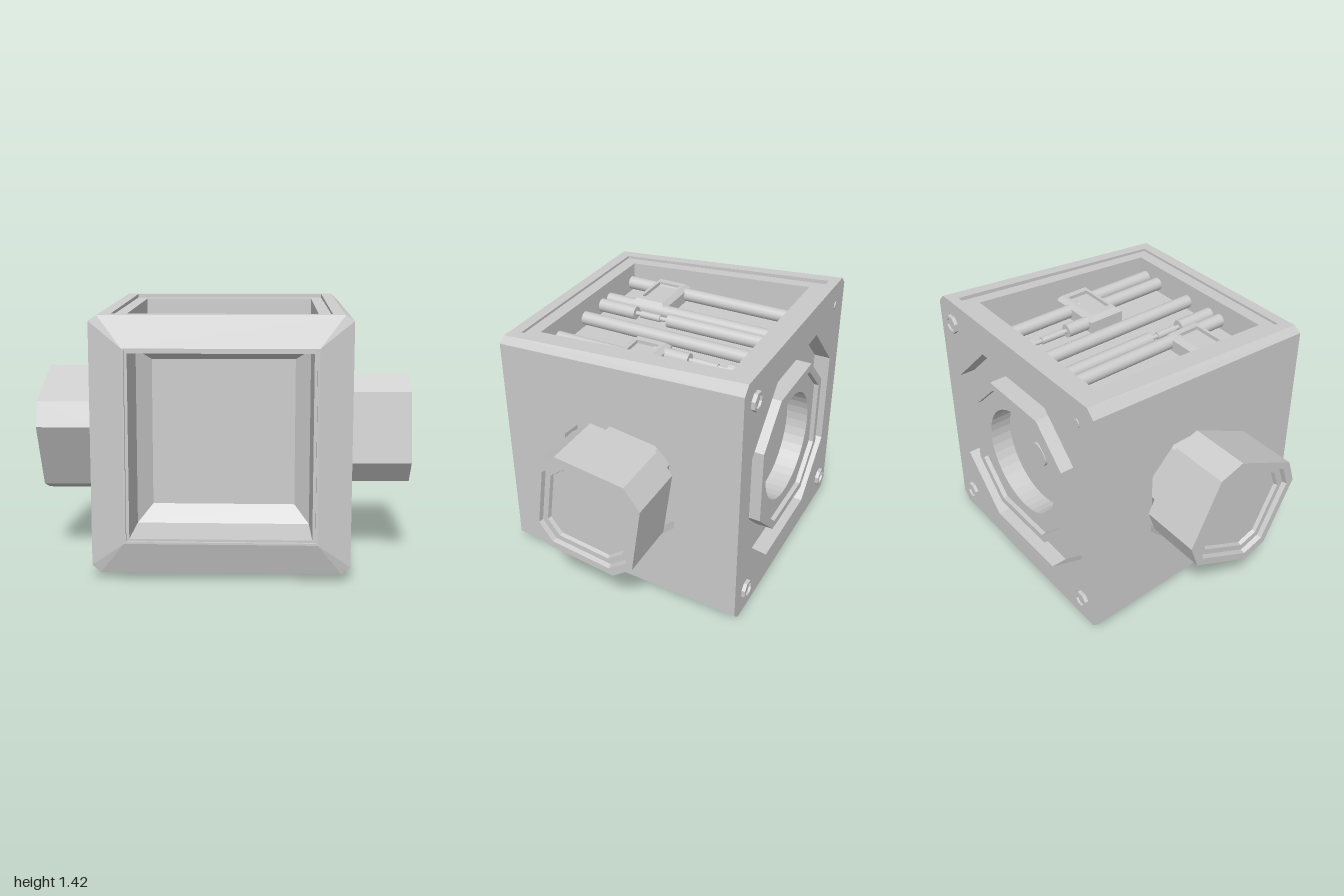
import * as THREE from 'three';
import { mergeGeometries } from 'three/addons/utils/BufferGeometryUtils.js';

const W = 0.678, Y0 = 0.005, Y1 = 1.43, C = 0.045, ZB = -0.695, ZF = 0.665;
const FLOOR = 1.17, MID = 0.685;
const material = new THREE.MeshStandardMaterial({ color: 0xcccccc });
const clamp = THREE.MathUtils.clamp;

// Rectangle with cut corners, counter-clockwise
function chamfer(x0, x1, y0, y1, c = 0) {
  return [[x0 + c, y0], [x1 - c, y0], [x1, y0 + c], [x1, y1 - c],
    [x1 - c, y1], [x0 + c, y1], [x0, y1 - c], [x0, y0 + c]].map(p => new THREE.Vector2(...p));
}
const octagon = (h, c, cx = 0, cy = 0) => chamfer(cx - h, cx + h, cy - h, cy + h, c);
function circle(r, n, cx = 0, cy = 0) {
  return Array.from({ length: n }, (_, i) => {
    const a = (i + 0.5) / n * Math.PI * 2;
    return new THREE.Vector2(cx + r * Math.cos(a), cy + r * Math.sin(a));
  });
}

// Skin through outlines [points, z], ending in a flat cap facing +z
function loft(sections, cap = true) {
  const pos = [];
  const put = (p, z) => pos.push(p.x, p.y, z);
  for (let s = 0; s + 1 < sections.length; s++) {
    const [a, za] = sections[s], [b, zb] = sections[s + 1];
    a.forEach((p, i) => {
      const j = (i + 1) % a.length;
      put(p, za); put(a[j], za); put(b[j], zb);
      put(p, za); put(b[j], zb); put(b[i], zb);
    });
  }
  if (cap) {
    const [p, z] = sections[sections.length - 1];
    for (let i = 1; i + 1 < p.length; i++) { put(p[0], z); put(p[i], z); put(p[i + 1], z); }
  }
  const g = new THREE.BufferGeometry();
  g.setAttribute('position', new THREE.Float32BufferAttribute(pos, 3));
  g.computeVertexNormals();
  return g;
}

// Flat plate with an optional hole
function plate(outline, hole, z = 0) {
  const shape = new THREE.Shape(outline);
  if (hole) shape.holes.push(new THREE.Path(hole));
  const g = new THREE.ShapeGeometry(shape).toNonIndexed();
  g.deleteAttribute('uv');
  return g.translate(0, 0, z);
}

// Shell narrows toward the front; the levels between top and bottom stay put
function taper(v) {
  const t = clamp((v.z - ZB) / (ZF - ZB), 0, 1);
  v.x *= 1 - 0.044 * t;
  v.y += 0.035 * t * clamp((0.2 - v.y) / 0.195, 0, 1) - 0.1 * t * clamp((v.y - FLOOR) / (Y1 - FLOOR), 0, 1);
  return v;
}

function shellGeometry() {
  const parts = [];
  // Side panels with sockets
  for (const s of [1, -1]) {
    const x0 = s > 0 ? -ZF : ZB, x1 = s > 0 ? -ZB : ZF;
    const socket = octagon(0.32, 0.135, 0.018 * s, MID);
    for (const g of [plate(chamfer(x0, x1, Y0 + C, Y1 - C), socket), loft([[socket, 0], [socket, -0.12]])])
      parts.push(g.rotateY(s * Math.PI / 2).translate(s * W, 0, 0));
    // Long corner bevels
    for (const y of [Y0, Y1]) {
      const top = y === Y1, bevel = new THREE.PlaneGeometry(C * Math.SQRT2, ZF - ZB).toNonIndexed();
      bevel.deleteAttribute('uv');
      bevel.rotateX(-Math.PI / 2).rotateZ(top ? -s * Math.PI / 4 : Math.PI + s * Math.PI / 4);
      parts.push(bevel.translate(s * (W - C / 2), y + (top ? -C / 2 : C / 2), (ZF + ZB) / 2));
    }
  }
  // Top with stepped open bay
  const mouth = chamfer(-0.57, 0.57, -0.6, 0.64), bay = chamfer(-0.505, 0.505, -0.525, 0.555);
  for (const g of [plate(chamfer(-W + C, W - C, -ZF, -ZB), mouth),
    loft([[mouth, 0], [mouth, -0.022], [bay, -0.022], [bay, FLOOR - Y1]])])
    parts.push(g.rotateX(-Math.PI / 2).translate(0, Y1, 0));
  // Bottom
  parts.push(plate(chamfer(-W + C, W - C, ZB, ZF)).rotateX(Math.PI / 2).translate(0, Y0, 0));
  // Back panel
  parts.push(plate(chamfer(-W, W, Y0, Y1, C), octagon(0.55, 0.28, 0, 0.7)).rotateY(Math.PI).translate(0, 0, ZB));

  const g = mergeGeometries(parts), p = g.attributes.position, v = new THREE.Vector3();
  for (let i = 0; i < p.count; i++) {
    taper(v.fromBufferAttribute(p, i));
    p.setXYZ(i, v.x, v.y, v.z);
  }
  g.computeVertexNormals();
  return g;
}

export function createModel() {
  const model = new THREE.Group();
  const add = (name, geometry, parent = model) => {
    const m = new THREE.Mesh(geometry, material);
    m.name = name;
    parent.add(m);
    return m;
  };
  add('shell', shellGeometry());

  // Sloped front frame and deep window
  const edge = chamfer(-W, W, Y0, Y1, C).map(p => {
    const v = taper(new THREE.Vector3(p.x, p.y, ZF));
    return new THREE.Vector2(v.x, v.y);
  });
  const win = (h, y0, y1) => chamfer(-h, h, y0, y1);
  add('frontWindow', loft([[edge, ZF], [win(0.48, 0.2, 1.17), 0.712], [win(0.47, 0.21, 1.16), 0.712],
    [win(0.47, 0.21, 1.16), 0.695], [win(0.455, 0.222, 1.145), 0.695],
    [win(0.455, 0.222, 1.145), 0.37], [win(0.38, 0.31, 1.09), 0.29]]));

  // Octagonal side knobs, each turned by its own angle
  const ring = k => octagon(0.29 * k, 0.1 * k);
  for (const s of [1, -1]) {
    const knob = add(s > 0 ? 'leftKnob' : 'rightKnob', loft([[ring(0.75), -0.12], [ring(0.75), 0], [ring(1), 0],
      [ring(1), 0.325], [ring(0.87), 0.325], [ring(0.85), 0.3], [ring(0.75), 0.3], [ring(0.73), 0.28]])
      .rotateZ(s > 0 ? -0.14 : -0.46).rotateY(s * Math.PI / 2));
    knob.position.set(s * 0.675, MID, -0.018);
  }

  // Back: octagonal recess, raised ring, round dish and button
  const back = new THREE.Group();
  back.name = 'backDial';
  back.position.set(0, 0.7, ZB);
  back.rotation.y = Math.PI;
  model.add(back);
  const outer = octagon(0.55, 0.28), boss = octagon(0.41, 0.2), rim = octagon(0.37, 0.18), dish = circle(0.3, 40);
  add('raisedRing', loft([[outer, 0], [outer, -0.09], [boss, -0.09], [boss, 0.006],
    [rim, 0.006], [rim, -0.02]], false), back);
  add('dialFace', plate(rim, dish, -0.02), back);
  add('dish', loft([[dish, -0.02], [dish, -0.14]]), back);
  add('button', loft([[circle(0.07, 24), -0.14], [circle(0.07, 24), -0.12]]), back);

  // Corner bolts, with a small pin in the fourth corner
  for (const [x, y] of [[0.55, 0.6], [0.55, -0.56], [-0.55, -0.56], [-0.55, 0.6]]) {
    const pin = x < 0 && y > 0;
    const bolt = add(pin ? 'pin' : 'bolt', pin
      ? loft([[circle(0.024, 12), 0], [circle(0.024, 12), 0.006]])
      : loft([[circle(0.052, 8), 0], [circle(0.052, 8), 0.02], [circle(0.036, 8), 0.02], [circle(0.036, 8), 0.008]]), back);
    bolt.position.set(-x, y, 0);
  }

  // Rods in the top bay: x, start z, end z, radius
  const rods = new THREE.Group();
  rods.name = 'rods';
  model.add(rods);
  const B = -0.555, F = 0.525, R = 0.037;
  for (const [x, z0, z1, r] of [
    [-0.45, B, F, R], [-0.195, B, F, R], [0.07, B, F, R],
    [-0.11, B, 0.1, R], [-0.11, 0.1, 0.3, 0.013], [-0.11, 0.15, 0.27, 0.02], [-0.11, 0.3, F, R],
    [0.23, B, -0.42, R], [0.23, -0.42, -0.2, 0.013], [0.23, -0.36, -0.22, 0.02], [0.23, -0.2, 0, R],
    [0.39, B, 0, R], [0.33, 0.1, F, R], [0.435, 0.1, F, R]]) {
    const rod = add('rod', new THREE.CylinderGeometry(r, r, z1 - z0, 16).rotateX(Math.PI / 2), rods);
    rod.position.set(x, 1.22, (z0 + z1) / 2);
  }

  // Sliding blocks with a shallow pocket
  const box = (a, b) => chamfer(-a, a, -b, b);
  for (const [x, z] of [[-0.333, 0.265], [0.343, 0.035]]) {
    const block = add('slider', loft([[box(0.165, 0.105), 0], [box(0.165, 0.105), 0.065], [box(0.14, 0.08), 0.09],
      [box(0.105, 0.063), 0.09], [box(0.105, 0.063), 0.07]]).rotateX(-Math.PI / 2));
    block.position.set(x, 1.18, z);
  }
  return model;
}
